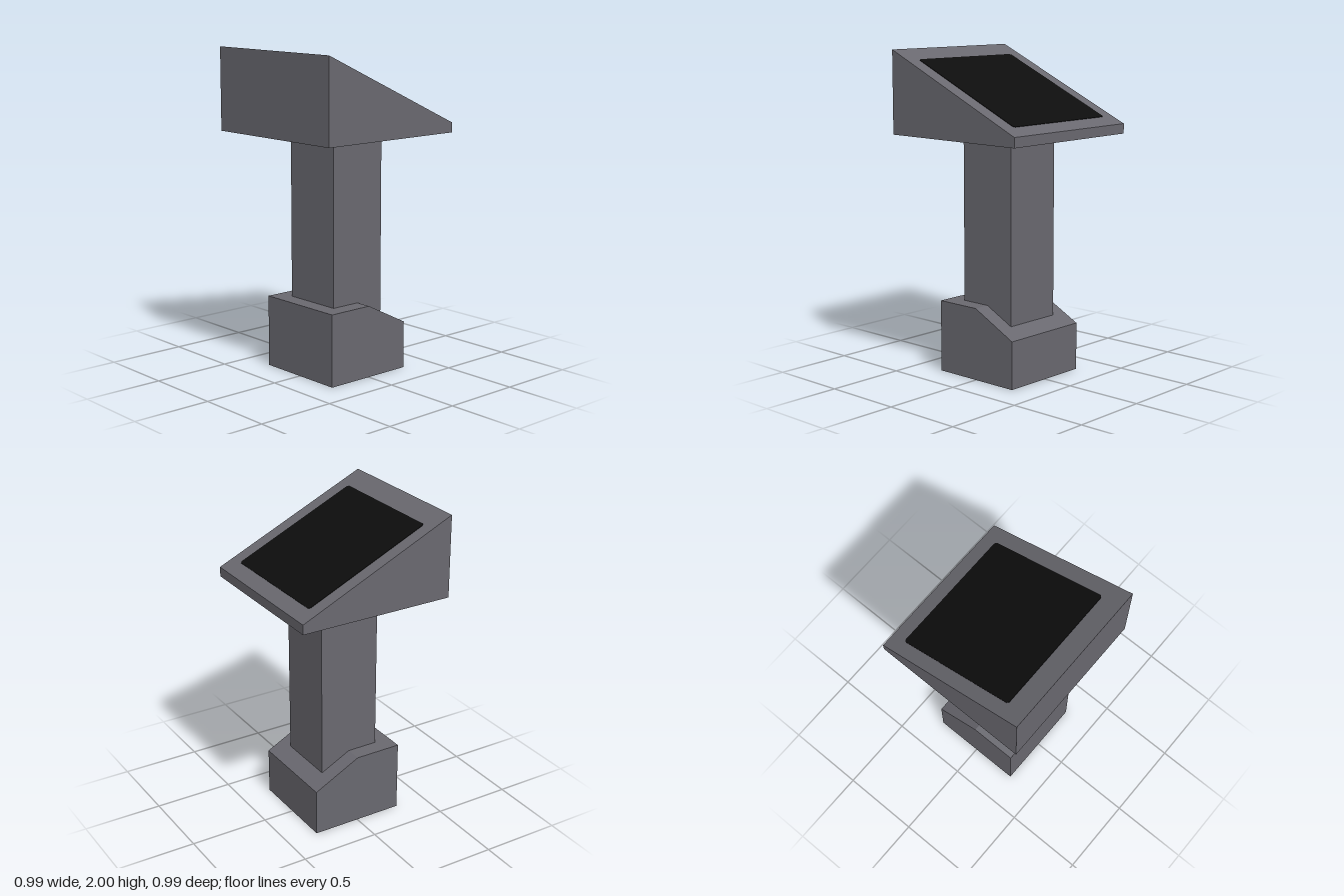
import * as THREE from 'three';

// Extrudes a side profile of [z, y] points across the width, centred on x = 0
function extrudeProfile(points, width) {
  const shape = new THREE.Shape(points.map(([z, y]) => new THREE.Vector2(z, y)));
  const geo = new THREE.ExtrudeGeometry(shape, { depth: width, bevelEnabled: false });
  return geo.translate(0, 0, -width / 2).rotateY(-Math.PI / 2);
}

// Drops the triangles lying flat on the given height, leaving an open shell
function openBottom(geo, y) {
  const src = geo.index ? geo.toNonIndexed() : geo;
  const p = src.attributes.position;
  const kept = [];
  for (let i = 0; i < p.count; i += 3) {
    if ([0, 1, 2].every((k) => Math.abs(p.getY(i + k) - y) < 1e-4)) continue;
    for (let k = 0; k < 3; k++) kept.push(p.getX(i + k), p.getY(i + k), p.getZ(i + k));
  }
  const out = new THREE.BufferGeometry();
  out.setAttribute('position', new THREE.Float32BufferAttribute(kept, 3));
  out.computeVertexNormals();
  return out;
}

export function createModel() {
  const model = new THREE.Group();
  model.name = 'consolePedestal';

  const greyMetal = new THREE.MeshStandardMaterial({ color: 0x69686f, side: THREE.DoubleSide });
  greyMetal.name = 'grey metal';
  const blackScreen = new THREE.MeshStandardMaterial({ color: 0x0d0d0d });
  blackScreen.name = 'black screen';

  const add = (name, geo, material) => {
    const mesh = new THREE.Mesh(geo, material);
    mesh.name = name;
    model.add(mesh);
    return mesh;
  };

  // Hollow foot with a sloping back half
  const b = 0.299;
  const foot = extrudeProfile([[-b, 0], [b, 0], [b, 0.45], [0, 0.45], [-b, 0.297]], b * 2);
  add('foot', openBottom(foot, 0), greyMetal);

  // Hollow square column, its lower end inside the foot
  const low = 0.235, high = 1.487;
  const column = new THREE.BoxGeometry(0.39, high - low, 0.39).translate(0, (low + high) / 2, 0);
  add('column', openBottom(column, low), greyMetal);

  // Wedge-shaped head, tall at the front
  const h = 0.496, backTop = 1.548, frontTop = 2;
  add('head', extrudeProfile([[-h, high], [h, high], [h, frontTop], [-h, backTop]], h * 2), greyMetal);

  // Thin screen lying on the sloped top, corners slightly clipped
  const slope = Math.atan2(frontTop - backTop, h * 2);
  const hw = 0.406, hl = 0.385 / Math.cos(slope), c = 0.012;
  const outline = new THREE.Shape([
    [-hw + c, -hl], [hw - c, -hl], [hw, -hl + c], [hw, hl - c],
    [hw - c, hl], [-hw + c, hl], [-hw, hl - c], [-hw, -hl + c],
  ].map(([x, y]) => new THREE.Vector2(x, y)));
  const plate = new THREE.ExtrudeGeometry(outline, { depth: 0.003, bevelEnabled: false });
  const screen = add('screen', plate.rotateX(-Math.PI / 2), blackScreen);
  const zMid = -0.02;
  screen.rotation.x = -slope;
  screen.position.set(-0.004, (backTop + frontTop) / 2 + zMid * Math.tan(slope), zMid);

  return model;
}
